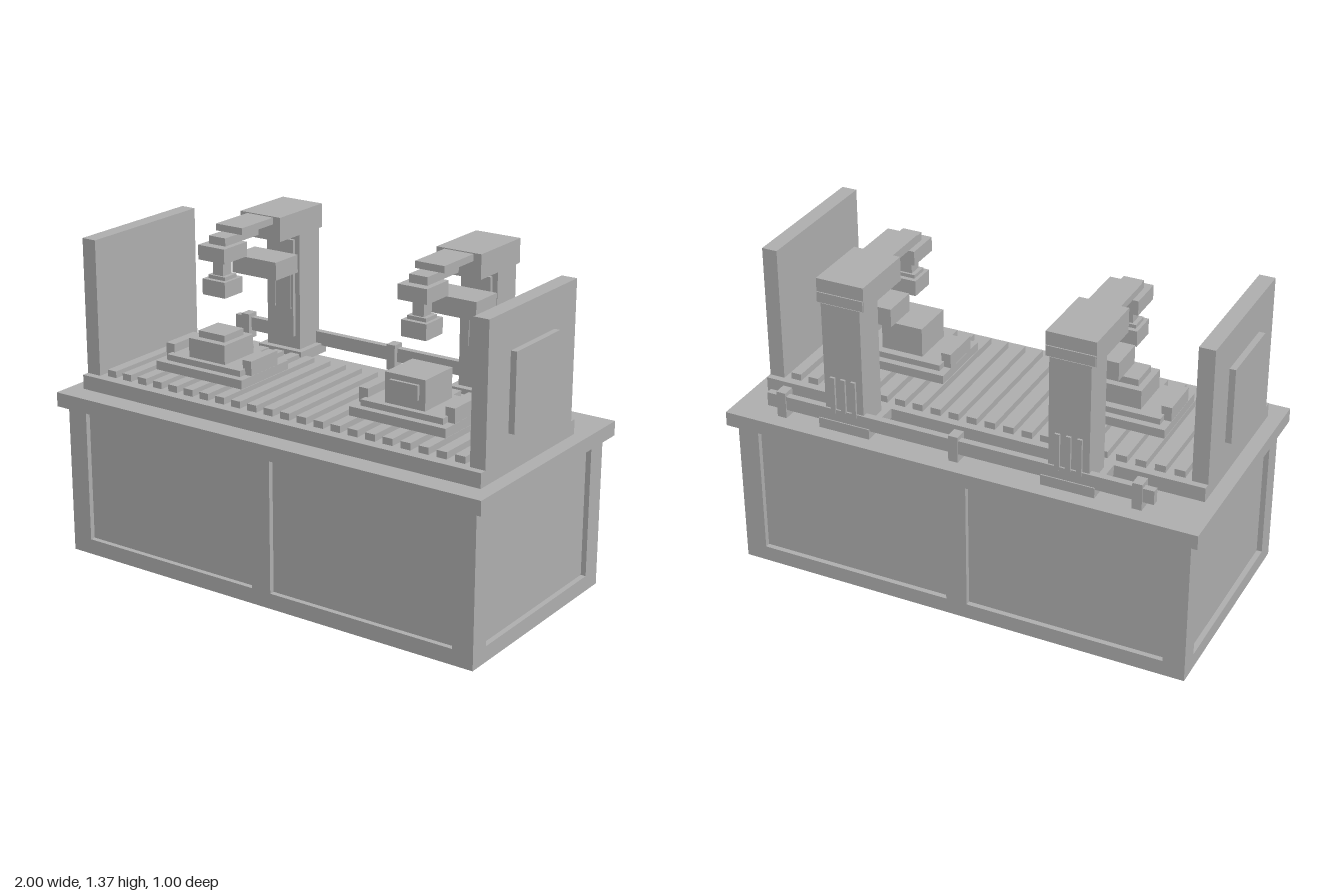
import * as THREE from 'three';

export function createModel() {
  const model = new THREE.Group();
  model.name = 'assemblyStation';
  const grey = new THREE.MeshStandardMaterial({ color: 0xb0b0b0 });
  grey.name = 'machine grey';

  // Box given by its lower and upper limits on each axis
  const box = (parent, name, x0, x1, y0, y1, z0, z1) => {
    const mesh = new THREE.Mesh(new THREE.BoxGeometry(x1 - x0, y1 - y0, z1 - z0), grey);
    mesh.name = name;
    mesh.position.set((x0 + x1) / 2, (y0 + y1) / 2, (z0 + z1) / 2);
    parent.add(mesh);
    return mesh;
  };
  const group = (name, x = 0) => {
    const g = new THREE.Group();
    g.name = name;
    g.position.x = x;
    model.add(g);
    return g;
  };

  // Cabinet: recessed core with plinth and posts framing the panels
  const cabinet = group('cabinet');
  const d = 0.022;
  box(cabinet, 'recessedPanels', -0.965 + d, 0.965 - d, 0.065, 0.63, -0.47 + d, 0.47 - d);
  box(cabinet, 'plinth', -0.965, 0.965, 0, 0.065, -0.47, 0.47);
  for (const sx of [-1, 1]) {
    for (const sz of [-1, 1]) {
      const [x0, x1] = [0.875 * sx, 0.965 * sx].sort((a, b) => a - b);
      const [z0, z1] = [0.38 * sz, 0.47 * sz].sort((a, b) => a - b);
      box(cabinet, 'cornerPost', x0, x1, 0.065, 0.63, z0, z1);
    }
  }
  box(cabinet, 'frontMullion', -0.045, 0.045, 0.065, 0.63, 0.47 - d, 0.47);
  box(cabinet, 'backMullion', -0.045, 0.045, 0.065, 0.63, -0.47, -0.47 + d);
  box(model, 'tableTop', -1, 1, 0.63, 0.69, -0.5, 0.5);

  // Conveyor bed with cross slats
  const conveyor = group('conveyor');
  box(conveyor, 'conveyorBed', -0.94, 0.94, 0.69, 0.75, -0.28, 0.405);
  for (let i = 0; i < 22; i++) {
    const x = (i - 10.5) * 0.0785;
    box(conveyor, 'slat', x - 0.022, x + 0.022, 0.75, 0.778, -0.245, 0.36);
  }

  // End guards with outer plates
  for (const s of [-1, 1]) {
    const guard = group('endGuard', s * 0.9075);
    box(guard, 'guardWall', -0.0325, 0.0325, 0.75, 1.315, -0.253, 0.375);
    const c = s * 0.045;
    box(guard, 'guardPlate', c - 0.0125, c + 0.0125, 0.845, 1.16, -0.093, 0.22);
  }

  // Cable rail along the back
  const rail = group('backRail');
  box(rail, 'railBar', -0.815, 0.815, 0.757, 0.815, -0.475, -0.446);
  for (const x of [-0.75, 0, 0.75]) {
    box(rail, 'railBracket', x - 0.02, x + 0.02, 0.722, 0.832, -0.48, -0.427);
  }

  for (const s of [-1, 1]) {
    // Column robot
    const robot = group('robot', s * 0.472);
    box(robot, 'footPlate', -0.11, 0.11, 0.722, 0.765, -0.48, -0.3);
    box(robot, 'column', -0.083, 0.083, 0.765, 1.265, -0.468, -0.33);
    box(robot, 'columnCover', -0.06, 0.06, 0.82, 1.235, -0.33, -0.315);
    for (const x of [-0.04, 0.04]) {
      box(robot, 'guideStrip', x - 0.01, x + 0.01, 0.94, 1.14, -0.315, -0.31);
    }
    for (const x of [-0.045, 0, 0.045]) {
      box(robot, 'rearStrip', x - 0.01, x + 0.01, 0.8, 0.955, -0.478, -0.468);
    }
    box(robot, 'head', -0.1, 0.1, 1.265, 1.365, -0.465, -0.175);
    box(robot, 'headBackPlate', -0.098, 0.098, 1.268, 1.31, -0.47, -0.465);
    box(robot, 'crossBlock', -0.11, 0.11, 1.115, 1.19, -0.28, -0.13);

    // Stepped arm and gripper
    box(robot, 'arm', -0.065, 0.065, 1.333, 1.361, -0.175, 0.03);
    box(robot, 'armStep', -0.041, 0.041, 1.3, 1.333, -0.11, 0.108);
    box(robot, 'toolBlock', -0.065, 0.065, 1.24, 1.3, 0, 0.147);
    box(robot, 'spindle', -0.025, 0.025, 1.175, 1.24, 0.05, 0.105);
    box(robot, 'collar', -0.042, 0.042, 1.16, 1.175, 0.04, 0.115);
    box(robot, 'gripper', -0.056, 0.056, 1.095, 1.16, 0.02, 0.135);

    // Work tray with clamps
    const tray = group('workTray', s * 0.472);
    box(tray, 'trayBase', -0.216, 0.216, 0.778, 0.815, -0.065, 0.243);
    box(tray, 'trayPlate', -0.185, 0.185, 0.815, 0.84, -0.035, 0.212);
    for (const c of [-0.194, 0.194]) {
      box(tray, 'clamp', c - 0.021, c + 0.021, 0.815, 0.875, 0.005, 0.178);
    }

    // Workpiece: capped on the right, taller with a front plate on the left
    if (s < 0) {
      box(tray, 'workpiece', -0.09, 0.09, 0.84, 0.92, 0, 0.187);
      box(tray, 'workpieceCap', -0.065, 0.065, 0.92, 0.948, 0.03, 0.155);
    } else {
      box(tray, 'workpiece', -0.09, 0.09, 0.84, 0.963, 0, 0.187);
      box(tray, 'workpieceFrontPlate', -0.063, 0.063, 0.88, 0.94, 0.187, 0.2);
    }
  }
  return model;
}
